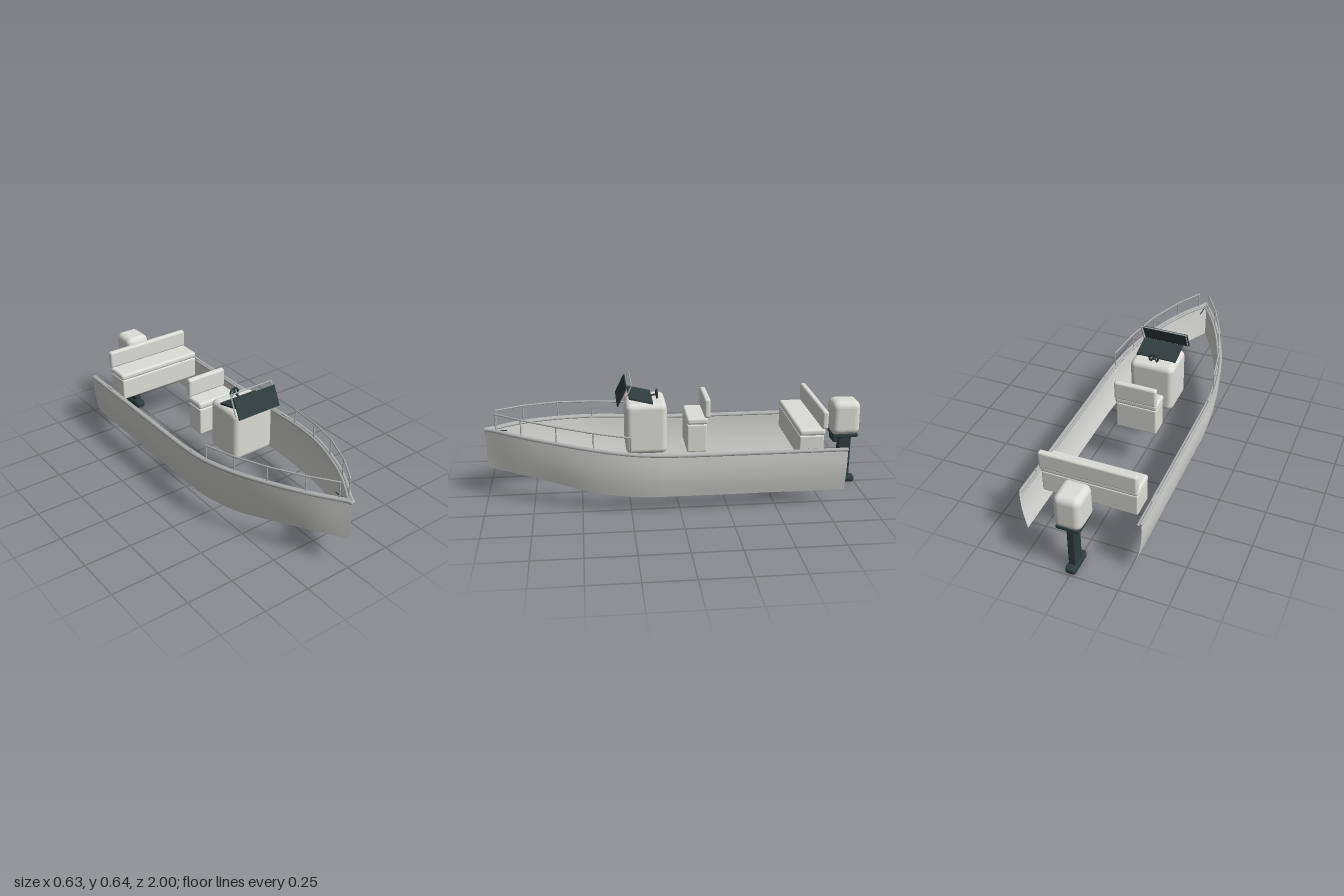
import * as THREE from 'three';
import { RoundedBoxGeometry } from 'three/addons/geometries/RoundedBoxGeometry.js';

const V = (x, y, z) => new THREE.Vector3(x, y, z);

function material(name, color, side = THREE.FrontSide) {
  const m = new THREE.MeshStandardMaterial({ color, side });
  m.name = name;
  return m;
}

// Edge lines of the left hull side, stern to bow
const sheer = new THREE.CatmullRomCurve3([
  V(0.312, 0.31, -0.86), V(0.312, 0.31, -0.4), V(0.312, 0.311, 0), V(0.311, 0.315, 0.13),
  V(0.302, 0.325, 0.27), V(0.267, 0.343, 0.45), V(0.205, 0.36, 0.63), V(0.115, 0.373, 0.82), V(0, 0.378, 0.995),
]);
const chine = new THREE.CatmullRomCurve3([
  V(0.285, 0.08, -0.86), V(0.285, 0.08, -0.4), V(0.285, 0.08, 0), V(0.284, 0.081, 0.13),
  V(0.273, 0.085, 0.27), V(0.24, 0.103, 0.45), V(0.18, 0.135, 0.63), V(0.098, 0.159, 0.82), V(0, 0.167, 0.99),
]);

// One hull side lofted between chine and sheer, s = +1 left, -1 right
function hullSide(s) {
  const cols = 56, rows = 6, pos = [], index = [];
  for (let i = 0; i <= cols; i++) {
    const a = chine.getPoint(i / cols), b = sheer.getPoint(i / cols);
    for (let j = 0; j <= rows; j++) {
      const t = j / rows, p = a.clone().lerp(b, t);
      const bulge = 0.009 * Math.sin(Math.PI * t) * Math.min(1, a.x / 0.2);
      pos.push(s * (p.x + bulge), p.y, p.z);
    }
  }
  for (let i = 0; i < cols; i++) for (let j = 0; j < rows; j++) {
    const a = i * (rows + 1) + j, b = a + 1, c = a + rows + 1, d = c + 1;
    if (s > 0) index.push(a, b, c, b, d, c);
    else index.push(a, c, b, b, c, d);
  }
  const g = new THREE.BufferGeometry();
  g.setAttribute('position', new THREE.Float32BufferAttribute(pos, 3));
  g.setIndex(index);
  g.computeVertexNormals();
  return g;
}

export function createModel() {
  const root = new THREE.Group();
  root.name = 'motorboat';
  const hullMat = material('hullWhite', 0xd6d6d4, THREE.DoubleSide);
  const white = material('white', 0xdcdcd8);
  const metal = material('railMetal', 0xb2b4b4);
  const dark = material('darkTrim', 0x303d3d);

  const add = (name, geo, mat, parent = root) => {
    const m = new THREE.Mesh(geo, mat);
    m.name = name;
    parent.add(m);
    return m;
  };
  const group = (name) => {
    const g = new THREE.Group();
    g.name = name;
    root.add(g);
    return g;
  };
  // Rounded box given by its limits on each axis
  const box = (name, [x0, x1], [y0, y1], [z0, z1], r, mat, parent) => {
    const m = add(name, new RoundedBoxGeometry(x1 - x0, y1 - y0, z1 - z0, 4, r), mat, parent);
    m.position.set((x0 + x1) / 2, (y0 + y1) / 2, (z0 + z1) / 2);
    return m;
  };
  // Straight rod between two points
  const rod = (name, a, b, r, mat, parent) => {
    const m = add(name, new THREE.CylinderGeometry(r, r, a.distanceTo(b), 8), mat, parent);
    m.position.copy(a).lerp(b, 0.5);
    m.quaternion.setFromUnitVectors(V(0, 1, 0), b.clone().sub(a).normalize());
    return m;
  };

  for (const s of [1, -1]) {
    const side = group(s > 0 ? 'leftSide' : 'rightSide');
    add('hullSide', hullSide(s), hullMat, side);

    // Gunwale and slimmer inner lip following the sheer
    for (const [name, inset, lift, r] of [['gunwale', 0.005, 0.001, 0.01], ['innerLip', 0.018, 0, 0.007]]) {
      const pts = sheer.getPoints(40).map((p) => V(s * Math.max(p.x - inset, 0.004), p.y + lift, p.z - inset * 0.3));
      add(name, new THREE.TubeGeometry(new THREE.CatmullRomCurve3(pts), 72, r, 8), metal, side);
    }
    add('bowCap', new THREE.SphereGeometry(0.011, 12, 8), metal, side).position.set(s * 0.006, 0.377, 0.987);

    // Bow rail: segments between posts, each post standing on the gunwale
    const posts = [[0.03, 0.378, 0.471, 0.935], [0.116, 0.372, 0.464, 0.8], [0.2, 0.358, 0.45, 0.62],
      [0.256, 0.34, 0.43, 0.435], [0.289, 0.322, 0.41, 0.25]];
    posts.forEach(([x, y0, y1, z], i) => {
      const top = V(s * x, y1, z);
      rod('railPost', V(s * x, y0, z), top, 0.0035, metal, side);
      add('railJoint', new THREE.SphereGeometry(0.0045, 8, 6), metal, side).position.copy(top);
      if (i) {
        const [px, , py, pz] = posts[i - 1];
        rod('railBar', V(s * px, py, pz), top, 0.0045, metal, side);
      }
    });

    // Mooring cleats
    for (const z of [0.15, -0.68]) {
      const y = z > 0 ? 0.326 : 0.321;
      box('cleat', [s * 0.3 - 0.006, s * 0.3 + 0.006], [y - 0.004, y + 0.004], [z - 0.028, z + 0.028], 0.003, metal, side);
    }
  }
  rod('bowFitting', V(0, 0.37, 0.88), V(0, 0.37, 0.945), 0.003, dark);

  // Steering console
  const helm = group('console');
  box('consoleBody', [-0.121, 0.121], [0.25, 0.525], [0.05, 0.265], 0.03, white, helm);
  const dash = add('dashboard', new THREE.BoxGeometry(0.22, 0.009, 0.125), dark, helm);
  dash.position.set(0, 0.541, 0.184);
  dash.rotation.x = -0.24;
  const screen = add('windscreen', new THREE.BoxGeometry(0.254, 0.11, 0.006), dark, helm);
  screen.position.set(0, 0.57, 0.282);
  screen.rotation.x = -0.45;
  const [fl, fr] = [1, -1].map((s) => [V(s * 0.127, 0.527, 0.279), V(s * 0.127, 0.632, 0.233)]);
  rod('windscreenPost', ...fl, 0.0035, metal, helm);
  rod('windscreenPost', ...fr, 0.0035, metal, helm);
  rod('windscreenTopBar', fl[1], fr[1], 0.0035, metal, helm);

  // Steering wheel
  const wheel = group('steeringWheel');
  wheel.position.set(0, 0.543, 0.095);
  add('wheelRim', new THREE.TorusGeometry(0.024, 0.005, 8, 24), dark, wheel);
  add('wheelHub', new THREE.SphereGeometry(0.009, 12, 8), dark, wheel);
  for (let i = 0; i < 3; i++) {
    const a = Math.PI / 2 + (i * Math.PI * 2) / 3;
    rod('wheelSpoke', V(0, 0, 0), V(0.024 * Math.cos(a), 0.024 * Math.sin(a), 0), 0.004, dark, wheel);
  }
  rod('wheelColumn', V(0, 0, 0), V(0, -0.01, 0.05), 0.005, dark, wheel);

  // Seats: base, cushion and backrest
  const seat = (name, w, zFront, depth, yBase, yCushion, yTop) => {
    const g = group(name), zb = zFront - depth;
    box('seatBase', [-w + 0.004, w - 0.004], [0.25, yBase], [zb + 0.018, zFront], 0.008, white, g);
    box('seatCushion', [-w, w], [yBase, yCushion], [zb + 0.012, zFront + 0.002], 0.014, white, g);
    box('seatBackrest', [-w, w], [yCushion - 0.003, yTop], [zb, zb + 0.032], 0.012, white, g);
  };
  seat('helmSeat', 0.115, -0.055, 0.122, 0.402, 0.44, 0.541);
  seat('rearBench', 0.252, -0.62, 0.147, 0.37, 0.405, 0.5);

  // Outboard motor, cowl narrowing towards its top and rear
  const motor = group('outboardMotor');
  const cowl = box('motorCowl', [-0.072, 0.072], [0.295, 0.481], [-0.998, -0.842], 0.034, white, motor);
  const p = cowl.geometry.attributes.position;
  for (let i = 0; i < p.count; i++) {
    const k = 1 - 0.45 * Math.max(0, p.getY(i));
    p.setX(i, p.getX(i) * k * (1 + 0.6 * Math.min(0, p.getZ(i))));
    p.setZ(i, p.getZ(i) * k);
  }
  cowl.geometry.computeVertexNormals();
  box('motorPlate', [-0.06, 0.06], [0.281, 0.3], [-0.99, -0.852], 0.006, dark, motor);
  box('motorClamp', [-0.045, 0.045], [0.25, 0.287], [-0.884, -0.858], 0.005, dark, motor);
  box('motorLeg', [-0.02, 0.02], [0.02, 0.285], [-0.966, -0.895], 0.008, dark, motor);
  box('motorFoot', [-0.028, 0.028], [0, 0.04], [-0.998, -0.853], 0.016, dark, motor);

  return root;
}
